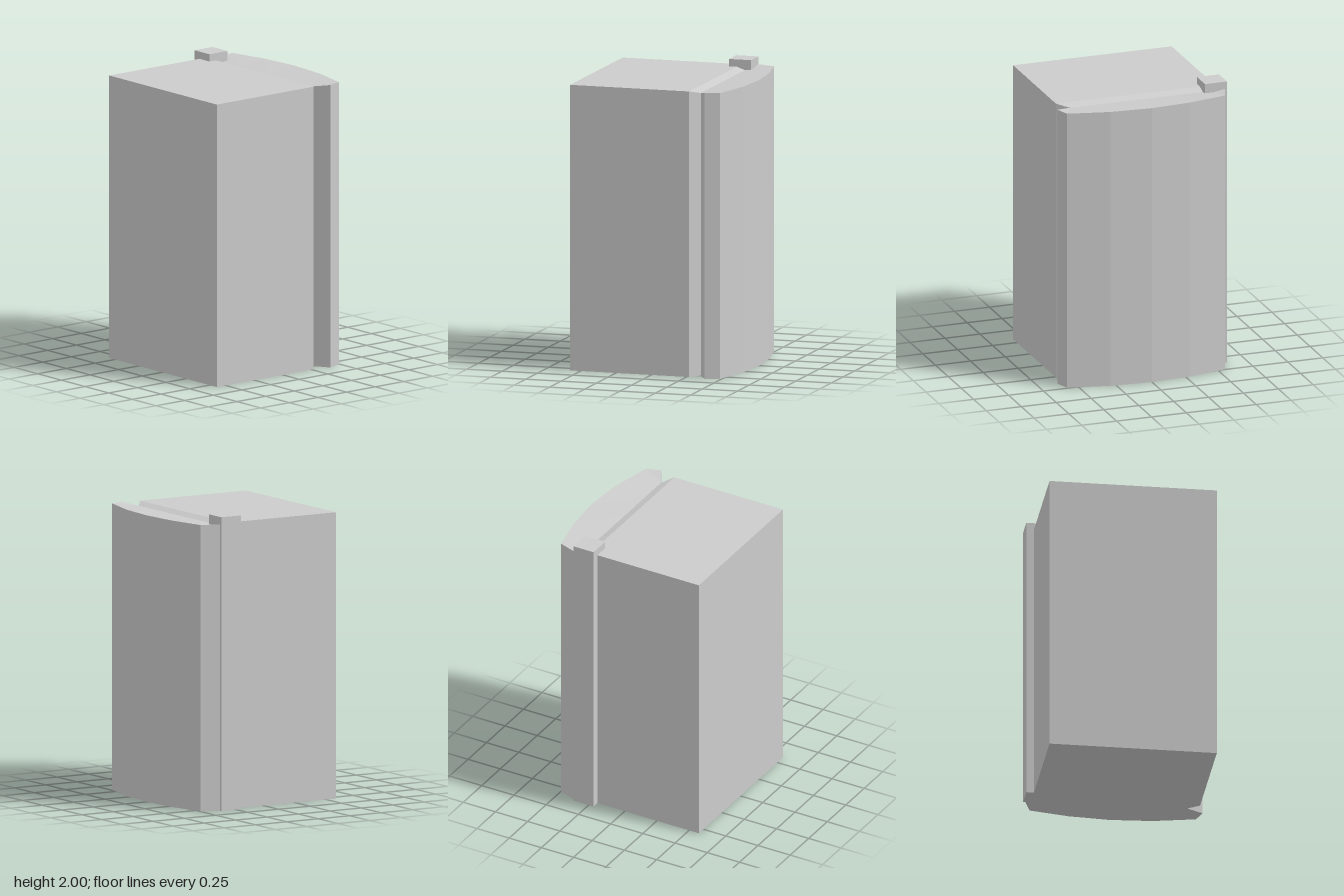
import * as THREE from 'three';

const material = new THREE.MeshStandardMaterial({ color: 0xcccccc, flatShading: true });

// Upright block lofted through four-cornered sections.
// Each section: two [x, z] ends of its top edge, with their heights; the bottom lies on y = 0.
function loftBlock(name, sections) {
  const rings = sections.map(([[x0, z0], y0, [x1, z1], y1]) => [
    [x0, y0, z0], [x1, y1, z1], [x1, 0, z1], [x0, 0, z0],
  ]);
  const positions = [];
  const quad = (a, b, c, d) => positions.push(...a, ...b, ...c, ...a, ...c, ...d);
  for (let i = 0; i + 1 < rings.length; i++) {
    const near = rings[i], far = rings[i + 1];
    for (let k = 0; k < 4; k++) {
      const n = (k + 1) % 4;
      quad(near[k], near[n], far[n], far[k]);
    }
  }
  quad(...[...rings[0]].reverse());
  quad(...rings[rings.length - 1]);
  const geometry = new THREE.BufferGeometry();
  geometry.setAttribute('position', new THREE.Float32BufferAttribute(positions, 3));
  geometry.computeVertexNormals();
  const mesh = new THREE.Mesh(geometry, material);
  mesh.name = name;
  return mesh;
}

export function createModel() {
  const group = new THREE.Group();
  group.name = 'refrigerator';
  const top = 1.95, seamTop = 1.93, seamX = 0.325;

  // Cabinet, bevelled along the side that meets the door
  group.add(loftBlock('cabinet', [
    [[-0.576, -0.56], top, [-0.576, 0.576], top],
    [[0.267, -0.56], top, [0.267, 0.576], top],
    [[seamX, -0.5], seamTop, [seamX, 0.497], seamTop],
  ]));

  // Bowed door: seam z, then outer x and z, from front to back
  const doorProfile = [
    [0.497, 0.387, 0.61],
    [0.497, 0.488, 0.577],
    [0.29, 0.554, 0.29],
    [0, 0.575, 0],
    [-0.28, 0.554, -0.28],
    [-0.5, 0.498, -0.552],
    [-0.5, 0.37, -0.597],
  ];
  group.add(loftBlock('door', doorProfile.map(
    ([seamZ, x, z]) => [[seamX, seamZ], seamTop, [x, z], top])));

  // Full-height hinge post at the back of the seam
  const hinge = new THREE.Mesh(new THREE.BoxGeometry(0.157, 2, 0.157), material);
  hinge.name = 'hingePost';
  hinge.position.set(0.29, 1, -0.533);
  group.add(hinge);

  return group;
}
